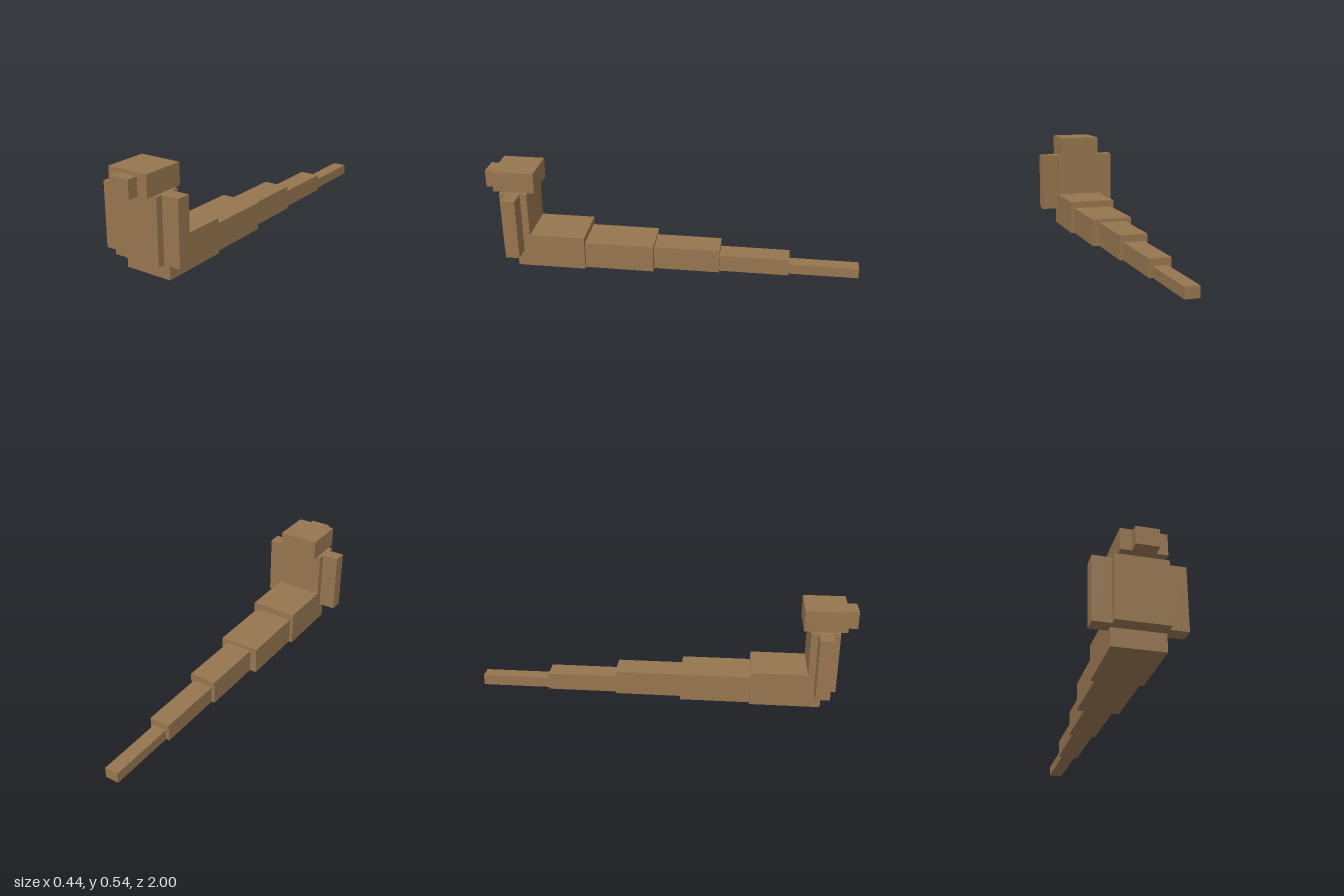
import * as THREE from 'three';

export function createModel() {
  const model = new THREE.Group();
  const brown = new THREE.MeshStandardMaterial({ color: 0x96754f });
  brown.name = 'brown';

  // Box given by its x, y and z ranges
  const addBox = (name, [x0, x1], [y0, y1], [z0, z1]) => {
    const mesh = new THREE.Mesh(new THREE.BoxGeometry(x1 - x0, y1 - y0, z1 - z0), brown);
    mesh.position.set((x0 + x1) / 2, (y0 + y1) / 2, (z0 + z1) / 2);
    mesh.name = name;
    model.add(mesh);
  };

  // Tapering tail lying on the ground: half width, height, front z, back z
  [
    [0.13, 0.185, 0.833, 0.463],
    [0.111, 0.148, 0.463, 0.093],
    [0.074, 0.13, 0.093, -0.259],
    [0.056, 0.093, -0.259, -0.63],
    [0.037, 0.056, -0.63, -1],
  ].forEach(([w, h, front, back], i) =>
    addBox(`tailSegment${i + 1}`, [-w, w], [0, h], [back, front]));

  // Upright torso
  addBox('torso', [-0.13, 0.13], [0.093, 0.426], [0.759, 0.907]);

  // Arms hanging at the sides
  addBox('leftArm', [0.13, 0.222], [0.093, 0.426], [0.796, 0.87]);
  addBox('rightArm', [-0.222, -0.13], [0.093, 0.426], [0.796, 0.87]);

  // Head and snout
  addBox('head', [-0.111, 0.111], [0.426, 0.537], [0.722, 0.944]);
  addBox('snout', [-0.056, 0.056], [0.426, 0.519], [0.944, 1]);

  return model;
}
